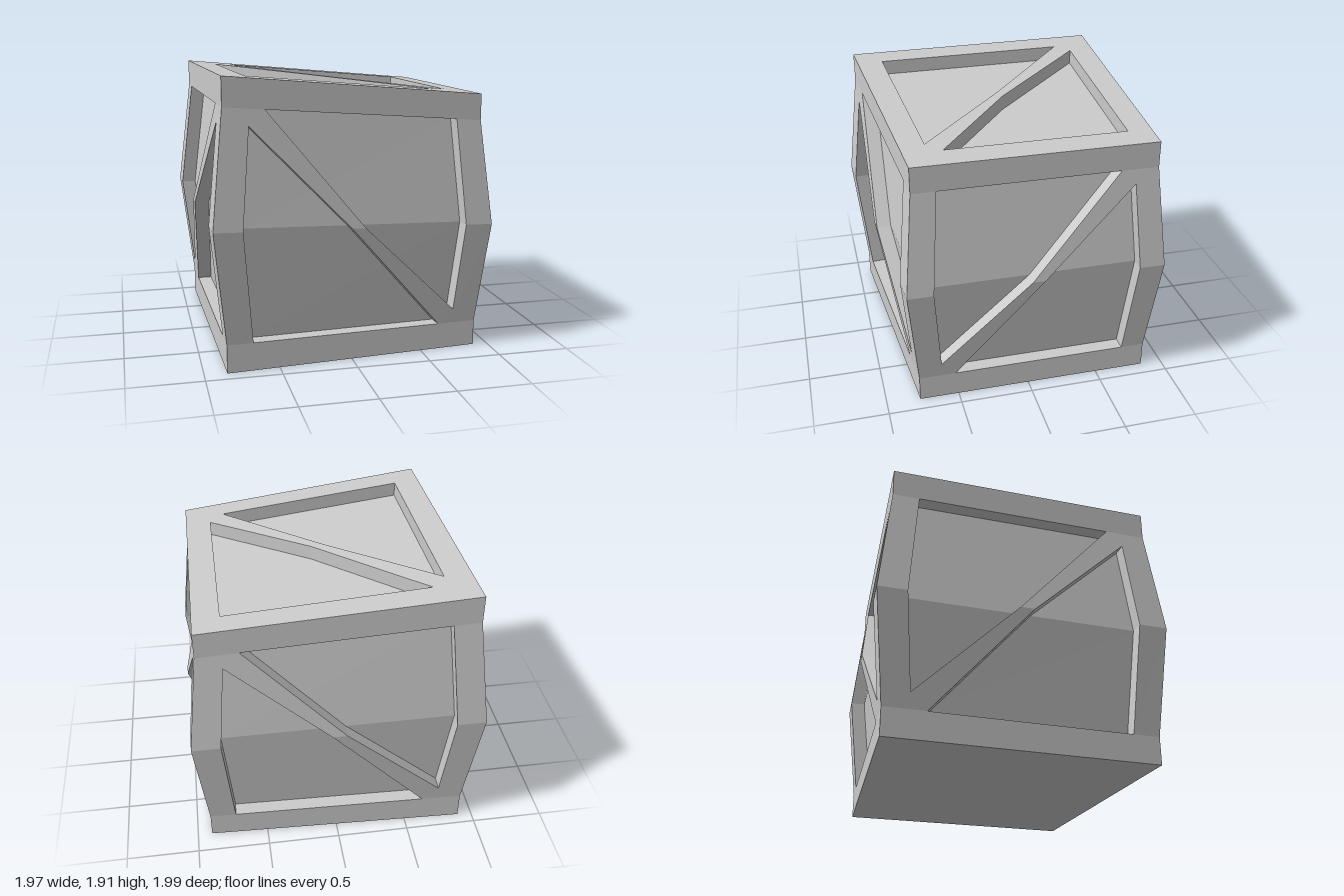
import * as THREE from 'three';

const material = new THREE.MeshStandardMaterial({ color: 0xcccccc, flatShading: true });
const DEPTH = 0.1;

// Corner posts: foot x/z, bulged x/z at mid height, and height
const FL = { foot: [-0.85, 0.91], mid: [-0.93, 0.99], h: 1.915 };
const FR = { foot: [0.90, 0.77], mid: [0.98, 0.835], h: 1.76 };
const BR = { foot: [0.90, -0.85], mid: [0.98, -0.92], h: 1.76 };
const BL = { foot: [-0.90, -0.92], mid: [-0.99, -1.0], h: 1.915 };

// Point on a post at height fraction v: straight at the rails, bent at the middle
function postPoint(c, v) {
  const b = Math.max(0, 1 - Math.abs(v - 0.5) / 0.4);
  return new THREE.Vector3(
    c.foot[0] + (c.mid[0] - c.foot[0]) * b, v * c.h, c.foot[1] + (c.mid[1] - c.foot[1]) * b);
}

// Face layout in (u, v), 0..1; each list is one half, the other is its half-turn
const FRAME_HALF = [
  [[0, 0], [1, 0], [1, 0.1], [0, 0.1]],                                    // rail
  [[0, 0.1], [0.1, 0.1], [0.1, 0.5], [0, 0.5]],                            // left post
  [[0.9, 0.1], [1, 0.1], [1, 0.5], [0.9, 0.5]],                            // right post
  [[0.845, 0.1], [0.9, 0.1], [0.9, 0.157], [0.525, 0.5], [0.475, 0.5]],    // brace
];
const PANEL_HALF = [[[0.1, 0.1], [0.9, 0.1], [0.9, 0.5], [0.1, 0.5]]];
const OPENING = [[0.1, 0.843], [0.1, 0.5], [0.1, 0.1], [0.845, 0.1], [0.475, 0.5]];

const halfTurn = (poly) => poly.map(([u, v]) => [1 - u, 1 - v]);
const bothHalves = (polys) => [...polys, ...polys.map(halfTurn)];

// Mesh from polygons of Vector3, fanned into flat triangles
function polyMesh(name, polys) {
  const pts = [];
  for (const p of polys)
    for (let i = 1; i < p.length - 1; i++) pts.push(p[0], p[i], p[i + 1]);
  const geometry = new THREE.BufferGeometry().setFromPoints(pts);
  geometry.computeVertexNormals();
  const mesh = new THREE.Mesh(geometry, material);
  mesh.name = name;
  return mesh;
}

// One braced face: surface maps (u, v) to space, inward is the recess direction
function bracedFace(name, surface, inward, mirrored) {
  const place = (poly) => (mirrored ? poly.map(([u, v]) => [u, 1 - v]).reverse() : poly)
    .map(([u, v]) => surface(u, v));
  const sink = (p) => p.clone().addScaledVector(inward, DEPTH);

  const frame = bothHalves(FRAME_HALF).map(place);
  // Walls of the two triangular openings
  for (const loop of bothHalves([OPENING]).map(place))
    loop.forEach((p, i) => {
      const q = loop[(i + 1) % loop.length];
      frame.push([p, q, sink(q), sink(p)]);
    });
  const panel = bothHalves(PANEL_HALF).map((poly) => place(poly).map(sink));

  const face = new THREE.Group();
  face.name = name;
  face.add(polyMesh(name + 'Frame', frame), polyMesh(name + 'Panel', panel));
  return face;
}

export function createModel() {
  const crate = new THREE.Group();
  crate.name = 'crate';

  // Four bulging sides, each from its left post to its right post
  const sides = [
    ['front', FL, FR, false],
    ['left', FR, BR, true],
    ['back', BR, BL, false],
    ['right', BL, FL, true],
  ];
  for (const [name, a, b, mirrored] of sides) {
    const along = postPoint(b, 0).sub(postPoint(a, 0));
    const inward = new THREE.Vector3(0, 1, 0).cross(along).normalize();
    const inside = inward.clone().negate();
    if (inside.dot(postPoint(a, 0).add(postPoint(b, 0))) > 0) inside.negate();
    crate.add(bracedFace(name, (u, v) => postPoint(a, v).lerp(postPoint(b, v), u), inside, mirrored));
  }

  // Sloping lid
  const lid = (u, v) => postPoint(FL, 1).lerp(postPoint(FR, 1), u)
    .lerp(postPoint(BL, 1).lerp(postPoint(BR, 1), u), v);
  crate.add(bracedFace('lid', lid, new THREE.Vector3(0, -1, 0), false));

  // Plain base
  crate.add(polyMesh('base', [[FL, BL, BR, FR].map((c) => postPoint(c, 0))]));
  return crate;
}
